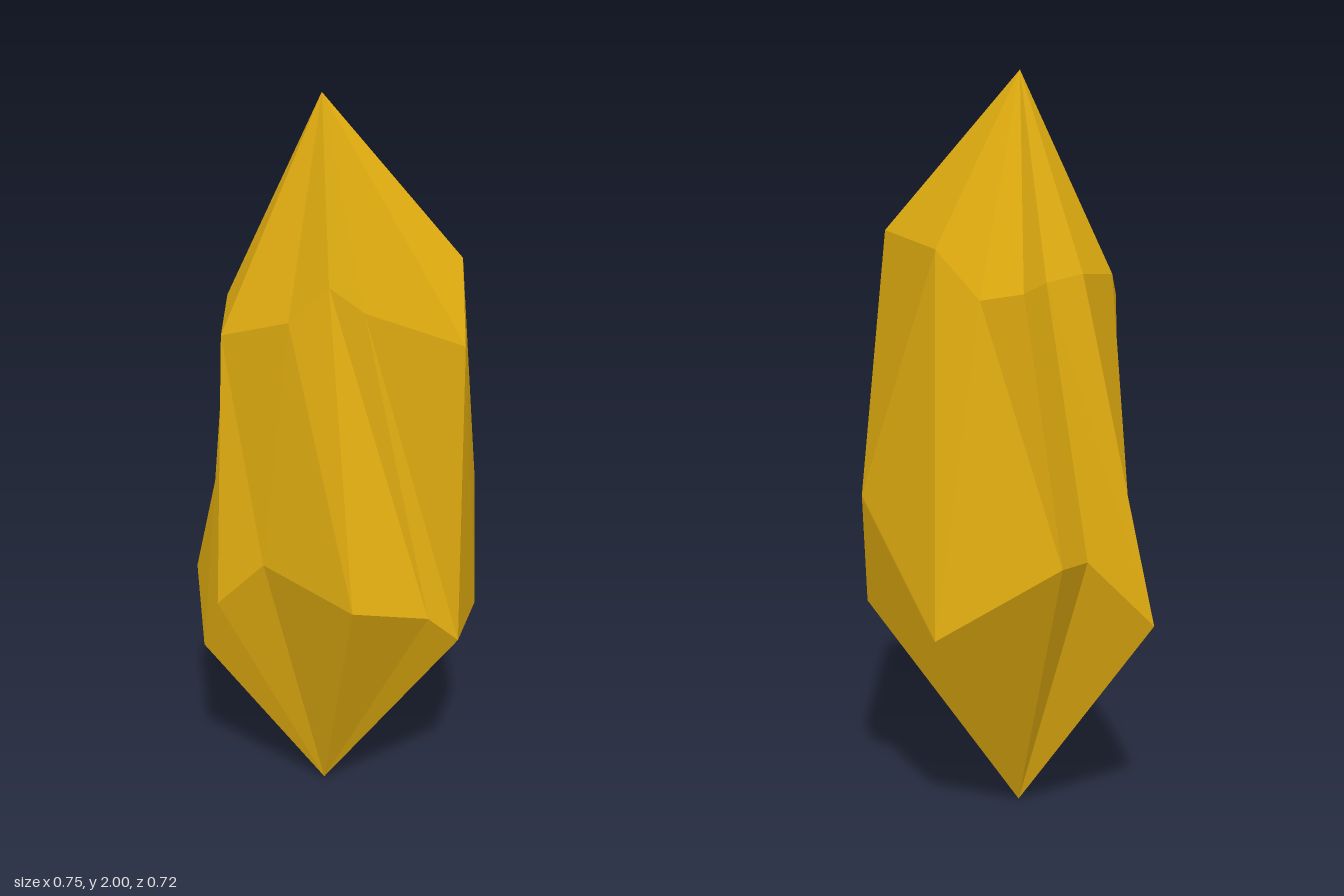
import * as THREE from 'three';

// Twelve facets around the crystal; the two rings are matched corner by corner.
const lowerRing = [
  [-0.145, 0.71, 0.32], [0.065, 0.655, 0.352], [0.155, 0.57, 0.36], [0.305, 0.57, 0.207],
  [0.372, 0.9, 0.085], [0.305, 0.57, -0.21], [0.015, 0.76, -0.36], [-0.095, 0.75, -0.297],
  [-0.262, 0.57, -0.36], [-0.375, 0.48, -0.09], [-0.37, 0.645, -0.01], [-0.28, 0.78, 0.085],
];
const upperRing = [
  [-0.095, 1.53, 0.11], [-0.035, 1.475, 0.185], [0.155, 1.41, 0.36], [0.24, 1.58, 0.205],
  [0.262, 1.57, -0.14], [0.163, 1.44, -0.19], [0.086, 1.463, -0.28], [-0.013, 1.477, -0.218],
  [-0.13, 1.49, -0.2], [-0.268, 1.47, -0.115], [-0.332, 1.4, -0.028], [-0.238, 1.48, 0.16],
];
const topTip = [-0.053, 2, 0];
const bottomTip = [-0.053, 0, 0];

function facetedMesh(name, triangles, material) {
  const geometry = new THREE.BufferGeometry();
  geometry.setAttribute('position', new THREE.Float32BufferAttribute(triangles.flat(2), 3));
  geometry.computeVertexNormals();
  const mesh = new THREE.Mesh(geometry, material);
  mesh.name = name;
  return mesh;
}

export function createModel() {
  const group = new THREE.Group();
  group.name = 'crystal';
  const amber = new THREE.MeshStandardMaterial({ color: 0xe0ac10 });
  amber.name = 'amber gold';
  amber.flatShading = true;

  const sides = [], crown = [], root = [];
  lowerRing.forEach((low, i) => {
    const next = (i + 1) % lowerRing.length;
    const lowNext = lowerRing[next], up = upperRing[i], upNext = upperRing[next];
    sides.push([low, lowNext, up], [up, lowNext, upNext]);
    crown.push([up, upNext, topTip]);
    root.push([bottomTip, lowNext, low]);
  });

  group.add(
    facetedMesh('crystalSides', sides, amber),
    facetedMesh('upperPoint', crown, amber),
    facetedMesh('lowerPoint', root, amber),
  );
  return group;
}
